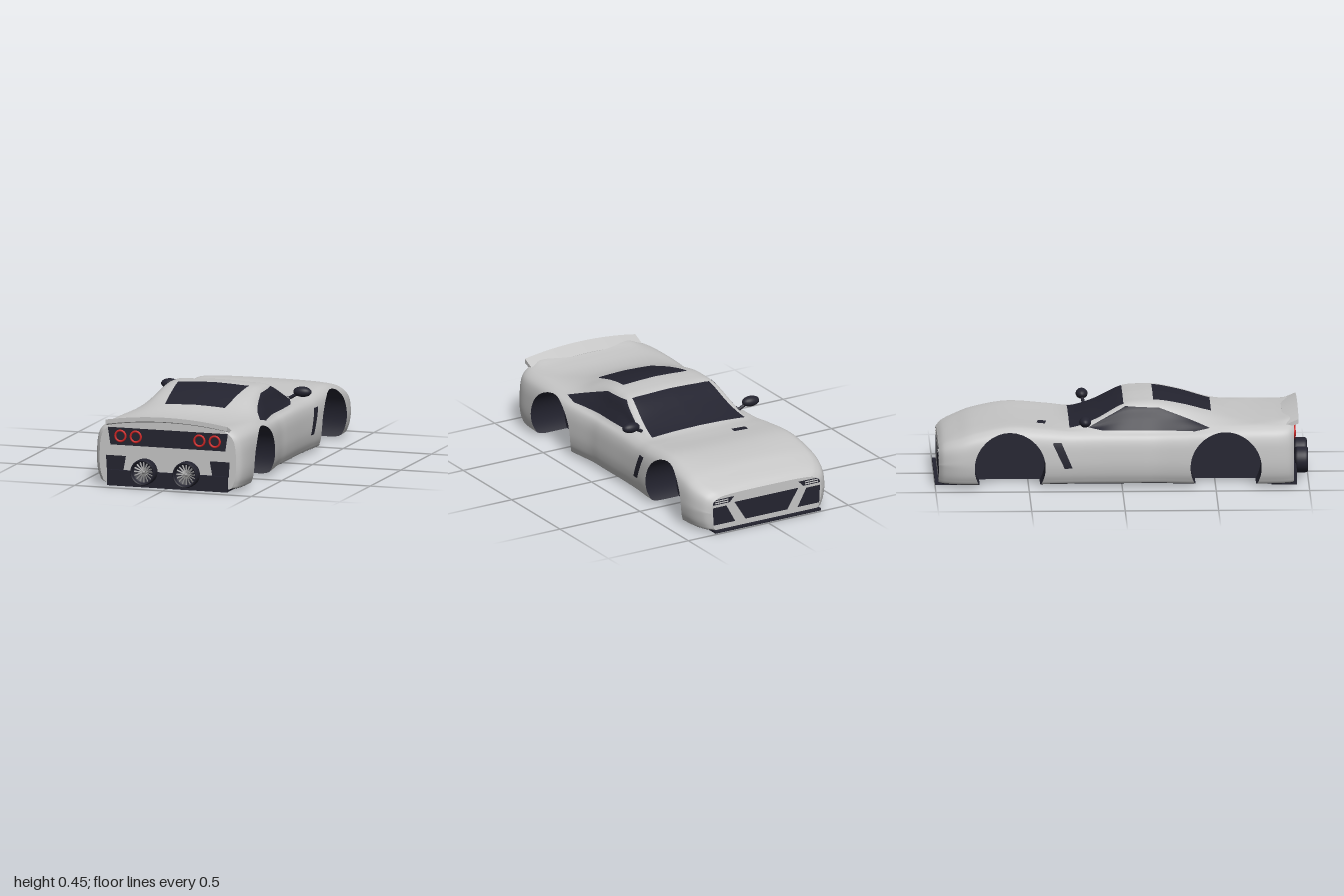
import * as THREE from 'three';

const mat = (name, color, side = THREE.FrontSide) => {
  const m = new THREE.MeshStandardMaterial({ color, side });
  m.name = name;
  return m;
};

// Catmull-Rom sampling of rows of numbers, n steps per span
function spline(rows, n) {
  const out = [], at = i => rows[Math.min(Math.max(i, 0), rows.length - 1)];
  for (let i = 0; i < rows.length - 1; i++) for (let k = 0; k < n; k++) {
    const t = k / n, [a, b, c, d] = [at(i - 1), at(i), at(i + 1), at(i + 2)];
    out.push(b.map((v, q) => {
      const cubic = 3 * (v - c[q]) + d[q] - a[q];
      const square = 2 * a[q] - 5 * v + 4 * c[q] - d[q];
      return v + 0.5 * t * (c[q] - a[q] + t * (square + t * cubic));
    }));
  }
  out.push(rows[rows.length - 1]);
  return out;
}

// Grid of points -> triangles whose corners are [x, y, z, nx, ny, nz]
function surface(P) {
  const m = P[0].length, idx = [];
  for (let i = 0; i < P.length - 1; i++) for (let j = 0; j < m - 1; j++) {
    const a = i * m + j, c = a + m;
    idx.push(a, a + 1, c, a + 1, c + 1, c);
  }
  const g = new THREE.BufferGeometry();
  g.setAttribute('position', new THREE.Float32BufferAttribute(P.flat(2), 3));
  g.setIndex(idx);
  g.computeVertexNormals();
  const p = g.attributes.position.array, n = g.attributes.normal.array;
  const v = idx.map(i => [...p.slice(i * 3, i * 3 + 3), ...n.slice(i * 3, i * 3 + 3)]);
  const tris = [];
  for (let i = 0; i < v.length; i += 3) tris.push([v[i], v[i + 1], v[i + 2]]);
  return tris;
}

// Cut triangles along f = 0; the inside is f < 0
function split(tris, f) {
  const inside = [], outside = [], edges = [];
  for (const t of tris) {
    const d = t.map(f);
    if (d.every(v => v <= 0)) { inside.push(t); continue; }
    if (d.every(v => v >= 0)) { outside.push(t); continue; }
    const A = [], B = [], cut = [];
    t.forEach((a, i) => {
      const k = (i + 1) % 3, b = t[k];
      if (d[i] <= 0) A.push(a);
      if (d[i] >= 0) B.push(a);
      if (d[i] * d[k] < 0) {
        const s = d[i] / (d[i] - d[k]), p = a.map((v, q) => v + (b[q] - v) * s);
        A.push(p); B.push(p); cut.push(p);
      }
    });
    for (let i = 1; i < A.length - 1; i++) inside.push([A[0], A[i], A[i + 1]]);
    for (let i = 1; i < B.length - 1; i++) outside.push([B[0], B[i], B[i + 1]]);
    if (cut.length === 2) edges.push(cut);
  }
  return { inside, outside, edges };
}

// Cut out the region where every function is negative
function carve(tris, fns) {
  let inside = tris, outside = [], edges = [];
  for (const f of fns) {
    const r = split(inside, f);
    inside = r.inside;
    outside = outside.concat(r.outside);
    edges = edges.concat(r.edges);
  }
  return { inside, outside, edges };
}

// Half-planes of a convex polygon seen along one axis (u, v are coordinate numbers)
function poly(pts, u, v) {
  const next = i => pts[(i + 1) % pts.length];
  const s = Math.sign(pts.reduce((a, p, i) => a + p[0] * next(i)[1] - p[1] * next(i)[0], 0));
  return pts.map((p, i) => q => s * ((q[u] - p[0]) * (next(i)[1] - p[1]) - (q[v] - p[1]) * (next(i)[0] - p[0])));
}
const flip = pts => pts.map(([a, b]) => [-a, b]);

export function createModel() {
  const car = new THREE.Group();
  const paint = mat('silver paint', 0xc6c6c6), dark = mat('dark trim', 0x242430, THREE.DoubleSide);
  const red = mat('red light', 0xcc2626), metal = mat('grey metal', 0x9c9c9c);
  const add = (name, geo, m, x = 0, y = 0, z = 0, parent = car) => {
    const mesh = new THREE.Mesh(geo, m);
    mesh.name = name;
    mesh.position.set(x, y, z);
    parent.add(mesh);
    return mesh;
  };
  const addTris = (name, tris, m) => {
    const g = new THREE.BufferGeometry(), v = tris.flat();
    g.setAttribute('position', new THREE.Float32BufferAttribute(v.flatMap(p => p.slice(0, 3)), 3));
    g.setAttribute('normal', new THREE.Float32BufferAttribute(v.flatMap(p => p.slice(3)), 3));
    add(name, g, m);
  };
  const panel = (tris, name, fns) => {
    const r = carve(tris, fns);
    addTris(name, r.inside, dark);
    return r.outside;
  };

  // Stations: z, half width, shoulder y, belt y, roof edge x, roof edge y, top y
  const stations = [
    [-.98, .345, .195, .203, .2, .208, .21], [-.95, .38, .22, .23, .22, .235, .24],
    [-.88, .41, .25, .26, .24, .268, .272], [-.78, .42, .285, .295, .25, .302, .306],
    [-.6, .42, .315, .325, .25, .327, .325], [-.4, .41, .305, .312, .26, .313, .312],
    [-.28, .4, .295, .302, .27, .308, .318], [-.14, .395, .295, .315, .285, .345, .37],
    [0, .395, .295, .345, .265, .415, .432], [.1, .395, .295, .35, .26, .428, .448],
    [.2, .395, .295, .35, .258, .425, .446], [.33, .41, .3, .345, .255, .4, .422],
    [.46, .425, .31, .335, .25, .365, .385], [.58, .43, .318, .332, .25, .345, .35],
    [.7, .43, .32, .332, .26, .335, .338], [.82, .425, .32, .332, .27, .34, .345],
    [.89, .41, .32, .335, .27, .35, .355], [.92, .385, .315, .335, .27, .352, .36]];
  const rings = spline(stations, 6).map(([z, w, s, by, rx, ry, t]) => {
    const half = spline([[0, .012], [w * .5, .012], [w * .88, .013], [w * .965, .045], [w, .11], [w, s * .62],
      [w * .985, s * .8], [w * .95, s * .92], [w * .88, s], [w * .79, by], [rx, ry],
      [rx * .55, t - (t - ry) * .3], [0, t]], 5);
    return [...half, ...flip(half).reverse().slice(1)].map(([x, y]) => [x, y, z]);
  });
  let body = surface(rings);

  // Wheel arches, lined from the cut edge inwards
  const R = .19, archY = .11, inner = .22;
  for (const [name, cz] of [['front', -.6], ['rear', .555]]) {
    const r = carve(body, [p => Math.hypot(p[1] - archY, p[2] - cz) - R, p => inner - Math.abs(p[0])]);
    body = r.outside;
    const lining = r.edges.flatMap(([a, b]) => {
      const pull = p => {
        const n = [0, (archY - p[1]) / R, (cz - p[2]) / R];
        return [[...p.slice(0, 3), ...n], [Math.sign(p[0]) * inner, p[1], p[2], ...n]];
      };
      const [a0, a1] = pull(a), [b0, b1] = pull(b);
      // Wind each quad to face the wheel axis
      const dir = (b[1] - a[1]) * (cz - a[2]) - (b[2] - a[2]) * (archY - a[1]);
      return dir * a[0] < 0 ? [[a0, a1, b0], [b0, a1, b1]] : [[a0, b0, a1], [b0, b1, a1]];
    });
    addTris(name + 'WheelWells', lining, dark);
    const wall = new THREE.Shape().absarc(0, 0, R, -Math.PI / 6, Math.PI * 7 / 6);
    for (const s of [1, -1])
      add(name + 'WellWall', new THREE.ShapeGeometry(wall, 32), dark, s * inner, archY, cz).rotation.y = s * Math.PI / 2;
  }

  // Glass, vents and floor, cut from the body surface
  body = panel(body, 'floor', [p => p[1] - .019]);
  const above = p => .2 - p[1];
  body = panel(body, 'windscreen', [above, ...poly([[-.29, -.28], [.29, -.28], [.24, .01], [-.24, .01]], 0, 2)]);
  body = panel(body, 'rearWindow', [above, ...poly([[-.2, .17], [.2, .17], [.17, .48], [-.17, .48]], 0, 2)]);
  body = panel(body, 'bonnetVent', [above, ...poly([[-.205, -.455], [-.125, -.445], [-.13, -.4], [-.21, -.41]], 0, 2)]);
  body = panel(body, 'sideWindows', poly([[.47, .317], [.2, .41], [.02, .418], [-.18, .312], [-.1, .3], [.39, .3]], 2, 1));
  body = panel(body, 'sideVents', poly([[-.265, .105], [-.308, .105], [-.373, .245], [-.325, .245]], 2, 1));
  addTris('body', body, paint);

  // Flat end faces with their dark panels
  const cap = (ring, dir) => surface(Array.from({ length: 9 }, (_, k) =>
    ring.slice(0, (ring.length + 1) / 2).map(([x, y, z]) => [x * dir * (1 - k / 4), y, z])));
  let nose = cap(rings[0], -1), tail = cap(rings[rings.length - 1], 1);
  nose = panel(nose, 'grille', poly([[-.2, .155], [.2, .155], [.13, .045], [-.13, .045]], 0, 1));
  tail = panel(tail, 'lightPanel', poly([[-.34, .315], [.34, .315], [.325, .22], [-.325, .22]], 0, 1));
  const intake = [[.25, .145], [.335, .145], [.33, .045], [.195, .045]];
  const lamp = [[.2, .19], [.33, .188], [.335, .16], [.23, .16]];
  const outlet = [[.237, .162], [.35, .162], [.345, .08], [.252, .08]];
  for (const side of [p => p, flip]) {
    nose = panel(nose, 'frontIntake', poly(side(intake), 0, 1));
    nose = panel(nose, 'headlight', poly(side(lamp), 0, 1));
    tail = panel(tail, 'rearOutlet', poly(side(outlet), 0, 1));
  }
  addTris('noseFace', nose, paint);
  addTris('tailFace', tail, paint);

  // Splitter and diffuser
  add('splitter', new THREE.BoxGeometry(.66, .012, .16), dark, 0, .011, -.92);
  add('diffuser', new THREE.BoxGeometry(.68, .085, .135), dark, 0, .0425, .8675);

  // Rear wing: blade section swept across, drooping to the ends
  const section = [[.86, .352], [.945, .388], [.945, .364], [.915, .354], [.86, .343]];
  const blade = new THREE.Shape(section.map(([z, y]) => new THREE.Vector2(-z, y)));
  const wing = new THREE.ExtrudeGeometry(blade, { depth: .69, steps: 20, bevelEnabled: false });
  wing.rotateY(Math.PI / 2).translate(-.345, 0, 0);
  const wp = wing.attributes.position;
  for (let i = 0; i < wp.count; i++) wp.setY(i, wp.getY(i) - .03 * (wp.getX(i) / .345) ** 2);
  wing.computeVertexNormals();
  add('rearWing', wing, paint);

  // Turbine exhaust
  const shell = new THREE.LatheGeometry([[0, 0], [.065, 0], [.07, .015], [.07, .055], [.067, .066], [.062, .07],
    [.058, .058], [.057, .02], [0, .02]].map(p => new THREE.Vector2(...p)), 40).rotateX(Math.PI / 2);
  const exhaust = x => {
    const g = new THREE.Group();
    g.name = 'exhaust';
    g.position.set(x, .09, .93);
    add('exhaustShell', shell, dark, 0, 0, 0, g);
    add('exhaustHub', new THREE.ConeGeometry(.012, .025, 20).rotateX(Math.PI / 2), metal, 0, 0, .045, g);
    for (let i = 0; i < 16; i++) {
      const vane = new THREE.BoxGeometry(.048, .008, .003).rotateX(.5).translate(.032, 0, .036);
      add('fanBlade', vane, metal, 0, 0, 0, g).rotation.z = i * Math.PI / 8;
    }
    car.add(g);
  };

  // Paired parts
  for (const s of [1, -1]) {
    exhaust(s * .12);
    for (const x of [.18, .267])
      add('tailLight', new THREE.TorusGeometry(.029, .006, 10, 36), red, s * x, .27, .925);
    for (const y of [.169, .181])
      add('headlightBar', new THREE.BoxGeometry(.08, .005, .006), paint, s * .28, y, -.981);
    add('mirror', new THREE.SphereGeometry(1, 24, 16).scale(.051, .028, .032), dark, s * .374, .354, -.198);
    const arm = new THREE.LineCurve3(new THREE.Vector3(s * .3, .315, -.19), new THREE.Vector3(s * .35, .345, -.197));
    add('mirrorArm', new THREE.TubeGeometry(arm, 1, .009, 8), dark);
  }
  return car;
}
